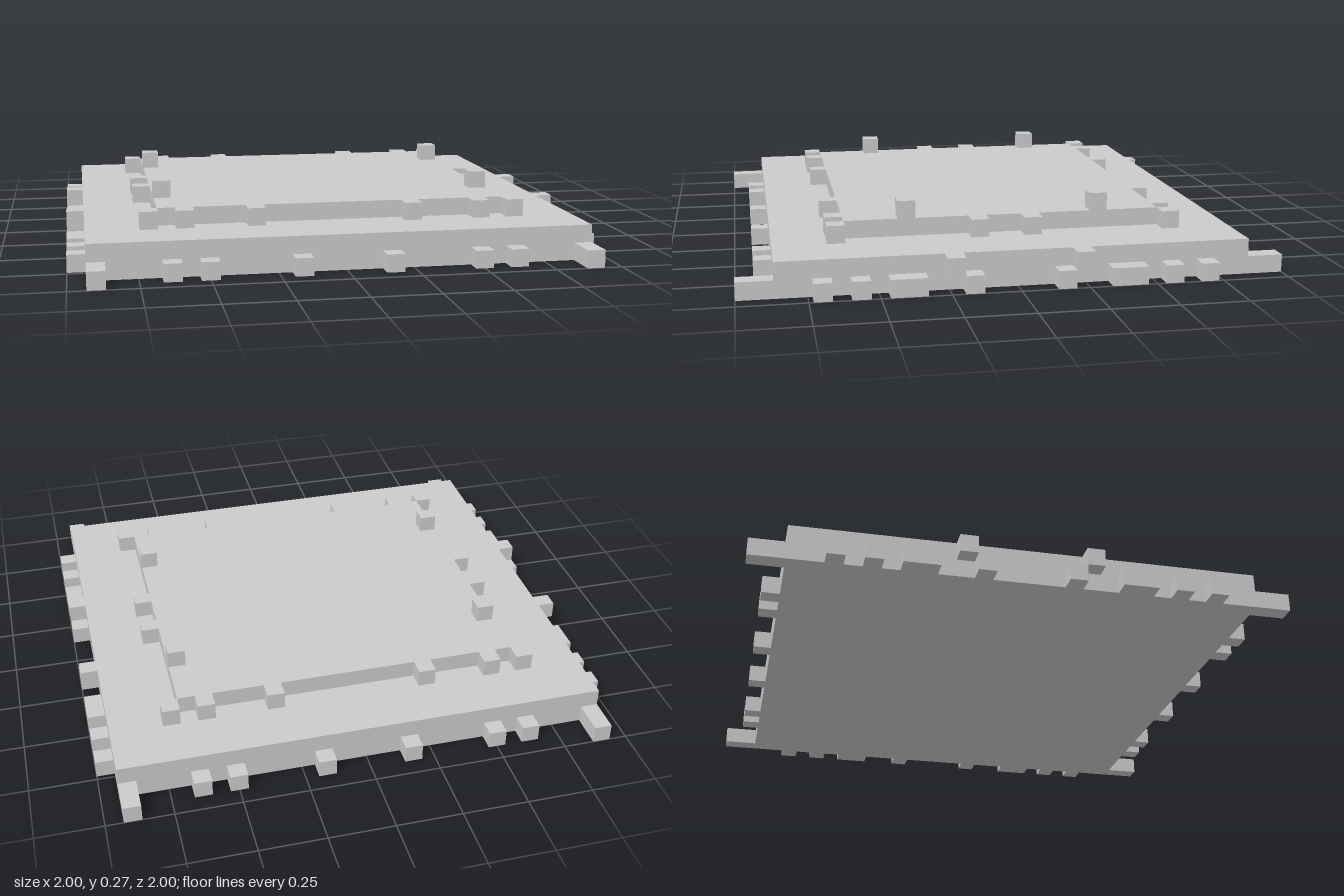
import * as THREE from 'three';

const U = 2 / 30; // one block unit

export function createModel() {
  const model = new THREE.Group();
  const material = new THREE.MeshStandardMaterial({ color: 0xcccccc, flatShading: true });

  // Box spanning two corners, measured in block units
  function block(name, [x0, x1], [y0, y1], [z0, z1]) {
    const mesh = new THREE.Mesh(
      new THREE.BoxGeometry((x1 - x0) * U, (y1 - y0) * U, (z1 - z0) * U), material);
    mesh.position.set((x0 + x1) / 2 * U, (y0 + y1) / 2 * U, (z0 + z1) / 2 * U);
    mesh.name = name;
    model.add(mesh);
  }

  // The same block in all four quadrants
  const flip = ([a, b], s) => (s > 0 ? [a, b] : [-b, -a]);
  function fourBlocks(name, x, y, z) {
    for (const sx of [1, -1]) for (const sz of [1, -1]) block(name, flip(x, sx), y, flip(z, sz));
  }

  // Stacked slabs
  block('baseSlab', [-14, 14], [0, 2], [-13, 13]);
  block('upperSlab', [-10, 10], [2, 3], [-9, 9]);

  // Base: corner arms and studs along front and back
  fourBlocks('cornerArm', [13, 14], [0, 1], [13, 15]);
  for (const x of [2, 7, 9]) fourBlocks('baseEndStud', [x, x + 1], [0, 1], [13, 14]);

  // Base: studs along the sides, one of them raised
  for (const z of [[2, 3], [5, 7], [8, 9], [10, 11]]) fourBlocks('baseSideStud', [14, 15], [0, 1], z);
  fourBlocks('raisedSideStud', [14, 15], [1, 2], [3, 4]);

  // Upper slab: studs around its edge
  for (const x of [4, 8, 10]) fourBlocks('upperEndStud', [x, x + 1], [2, 3], [9, 10]);
  fourBlocks('upperSideStud', [10, 11], [2, 3], [1, 2]);

  // Cubes standing on the upper slab
  fourBlocks('topCube', [9, 10], [3, 4], [5, 6]);

  return model;
}
